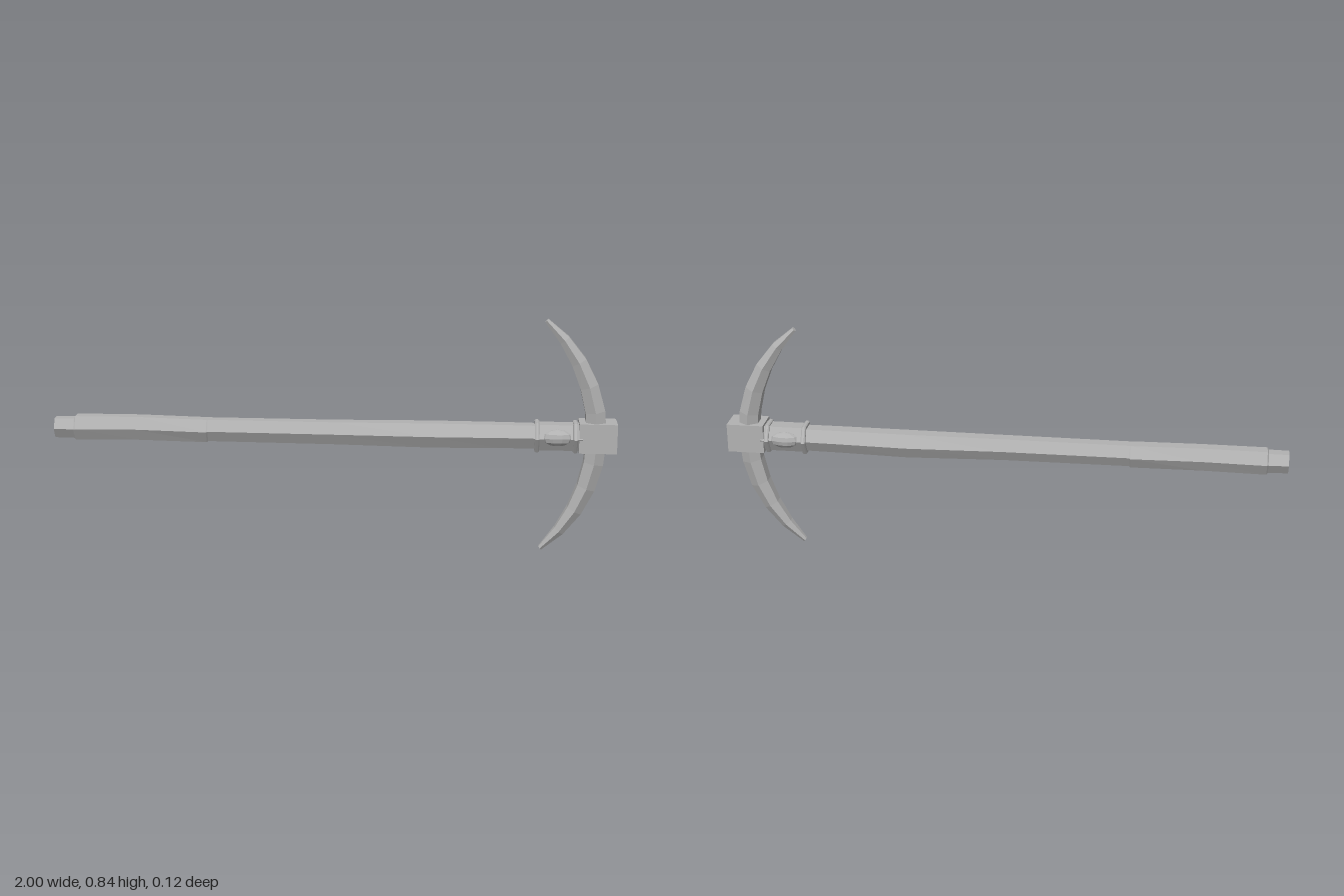
import * as THREE from 'three';

const Y = 0.419; // height of the handle axis
const grey = new THREE.MeshStandardMaterial({ color: 0xb2b2b2 });

// Faceted solid through closed rings of points, with capped ends
function loft(rings) {
  const n = rings[0].length, pos = [];
  const tri = (...pts) => pts.forEach(p => pos.push(p.x, p.y, p.z));
  for (let i = 0; i < rings.length - 1; i++) {
    for (let j = 0; j < n; j++) {
      const k = (j + 1) % n, a = rings[i], b = rings[i + 1];
      tri(a[j], a[k], b[k]);
      tri(a[j], b[k], b[j]);
    }
  }
  const first = rings[0], last = rings[rings.length - 1];
  for (let j = 1; j < n - 1; j++) {
    tri(first[0], first[j + 1], first[j]);
    tri(last[0], last[j], last[j + 1]);
  }
  const geo = new THREE.BufferGeometry();
  geo.setAttribute('position', new THREE.Float32BufferAttribute(pos, 3));
  geo.computeVertexNormals();
  return geo;
}

// Hexagon across the x axis, flat on top, with half height h and half depth d
function hexRing(x, h, d, dy = 0, dz = 0) {
  return Array.from({ length: 6 }, (_, k) => {
    const a = Math.PI / 6 + k * Math.PI / 3;
    return new THREE.Vector3(x, Y + dy + h * Math.cos(a) / 0.866, dz + d * Math.sin(a));
  });
}

export function createModel() {
  const group = new THREE.Group();
  const add = (name, geo) => {
    const mesh = new THREE.Mesh(geo, grey);
    mesh.name = name;
    group.add(mesh);
    return mesh;
  };

  // Uneven hewn shaft: x, half height, half depth, y shift, z shift
  const shaft = [
    [-1, 0.035, 0.038, 0, 0.001], [-0.93, 0.036, 0.039, 0, 0],
    [-0.925, 0.043, 0.043, 0.001, -0.002], [-0.7, 0.042, 0.041, 0.003, -0.003],
    [-0.45, 0.041, 0.043, -0.001, 0], [-0.445, 0.039, 0.04, 0.001, 0],
    [0, 0.04, 0.041, 0, 0.001], [0.35, 0.044, 0.046, -0.002, -0.004],
    [0.6, 0.042, 0.045, 0, -0.002], [0.9, 0.04, 0.043, 0, 0],
  ];
  add('handle', loft(shaft.map(s => hexRing(...s))));

  // Metal sleeve with a raised band at each end
  add('sleeve', loft([hexRing(0.72, 0.046, 0.05), hexRing(0.88, 0.046, 0.05)]));
  for (const x of [0.714, 0.848]) {
    add('sleeveBand', loft([
      hexRing(x, 0.05, 0.056), hexRing(x + 0.004, 0.053, 0.06),
      hexRing(x + 0.012, 0.053, 0.06), hexRing(x + 0.016, 0.05, 0.056),
    ]));
  }

  // Oval bosses on the front and back of the sleeve
  for (const side of [-1, 1]) {
    const geo = new THREE.SphereGeometry(1, 10, 6).toNonIndexed();
    geo.scale(0.055, 0.03, 0.025);
    geo.computeVertexNormals();
    add('sleeveBoss', geo).position.set(0.792, Y + 0.003, side * 0.037);
  }

  // Square socket block
  add('socket', new THREE.BoxGeometry(0.132, 0.105, 0.096)).position.set(0.934, Y + 0.003, 0);

  // Curved double pick: hexagonal sections tapering along an arc
  const R = 0.553, centreX = 0.377, sweep = 0.844, rings = [];
  for (let i = 0; i <= 10; i++) {
    const t = i / 5 - 1, a = t * sweep;
    const taper = Math.abs(t) ** 2.4;
    const depth = 0.045 - 0.035 * taper, thick = 0.04 - 0.031 * taper;
    rings.push(Array.from({ length: 6 }, (_, k) => {
      const b = k * Math.PI / 3, r = R + thick * Math.sin(b);
      return new THREE.Vector3(centreX + r * Math.cos(a), Y + r * Math.sin(a), depth * Math.cos(b));
    }));
  }
  add('pickHead', loft(rings));

  return group;
}
